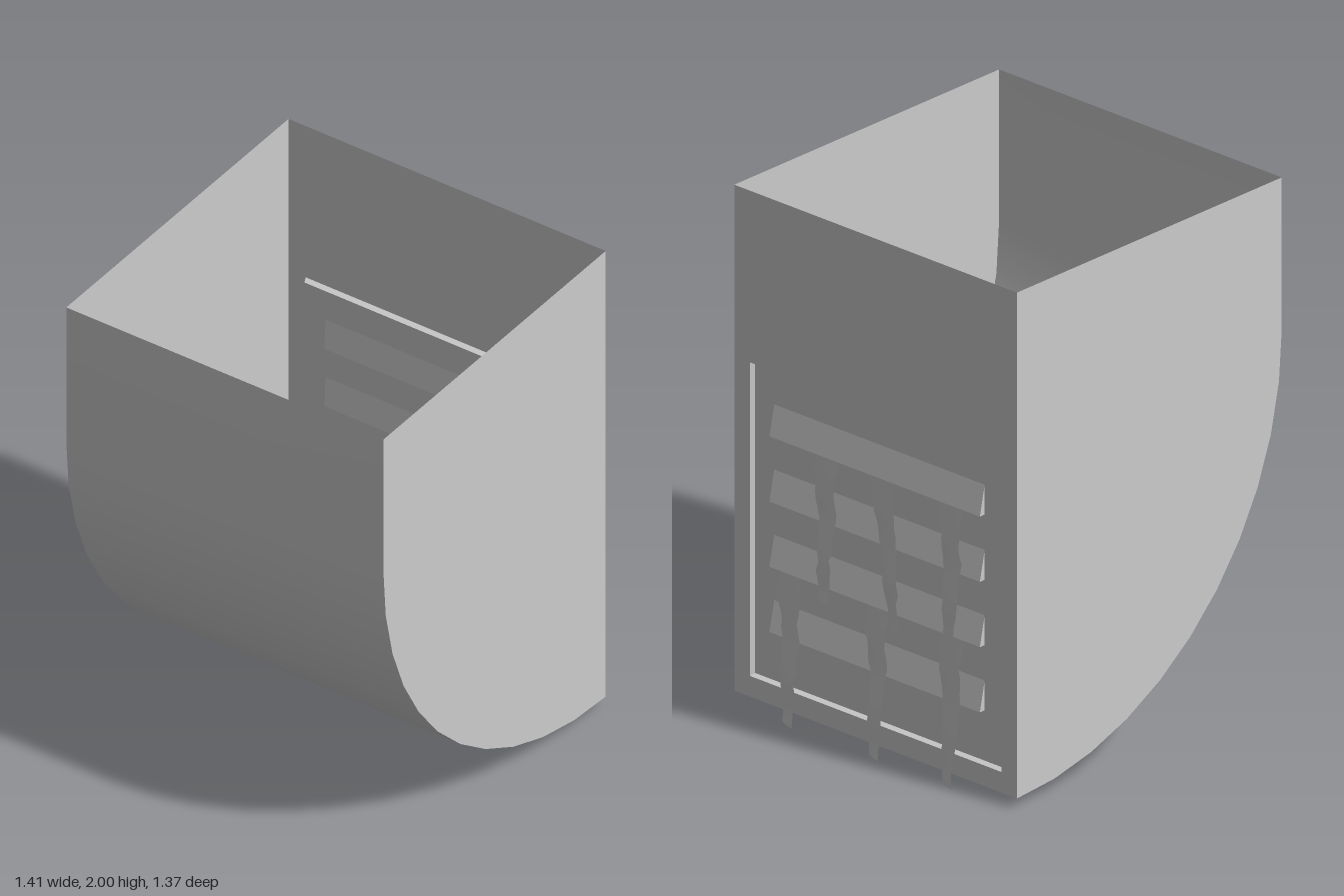
import * as THREE from 'three';

const material = new THREE.MeshStandardMaterial({ color: 0xcccccc, side: THREE.DoubleSide });
const flatMaterial = material.clone();
flatMaterial.flatShading = true;

const X0 = -0.71, X1 = 0.66, TOP = 2, HALF = 0.685; // hopper extents
const PANEL_X = 0.64;                               // floor of the recess

// Surface lofted through rows of [x, y, z] points
function sheet(name, rows, mat = material) {
  const n = rows[0].length, index = [];
  for (let i = 0; i < rows.length - 1; i++) {
    for (let j = 0; j < n - 1; j++) {
      const a = i * n + j, b = a + n;
      index.push(a, b, a + 1, b, b + 1, a + 1);
    }
  }
  const geo = new THREE.BufferGeometry();
  geo.setAttribute('position', new THREE.Float32BufferAttribute(rows.flat(2), 3));
  geo.setIndex(index);
  geo.computeVertexNormals();
  const mesh = new THREE.Mesh(geo, mat);
  mesh.name = name;
  return mesh;
}

function rectPath(path, u, v0, v1) {
  path.moveTo(-u, v0);
  path.lineTo(u, v0);
  path.lineTo(u, v1);
  path.lineTo(-u, v1);
  path.closePath();
  return path;
}

function rectLoop(x, u, v0, v1) {
  return [[x, v0, -u], [x, v0, u], [x, v1, u], [x, v1, -u], [x, v0, -u]];
}

function createHopper() {
  const g = new THREE.Group();
  g.name = 'hopper';

  // Side profile: straight back, then a quarter circle sweeping to the front edge
  const R = X1 - X0, cy = 0.04 + R;
  const profile = [[X0, TOP]];
  for (let i = 0; i <= 11; i++) {
    const a = (i / 11) * Math.PI / 2;
    profile.push([X1 - R * Math.cos(a), cy - R * Math.sin(a)]);
  }
  g.add(sheet('curvedWall', profile.map(([x, y]) => [[x, y, -HALF], [x, y, HALF]])));

  // Two flat side walls; the top stays open
  const outline = new THREE.Shape([...profile, [X1, TOP]].map(p => new THREE.Vector2(...p)));
  for (const s of [-1, 1]) {
    const wall = new THREE.Mesh(new THREE.ShapeGeometry(outline), material);
    wall.position.z = s * HALF;
    wall.name = 'sideWall';
    g.add(wall);
  }

  // Flat wall with the opening for the vent panel
  const face = rectPath(new THREE.Shape(), HALF, 0.04, TOP);
  face.holes.push(rectPath(new THREE.Path(), 0.61, 0.12, 1.335));
  const ventWall = new THREE.Mesh(new THREE.ShapeGeometry(face), material);
  ventWall.rotation.y = Math.PI / 2;
  ventWall.position.x = X1;
  ventWall.name = 'ventWall';
  g.add(ventWall);
  return g;
}

function createVent() {
  const g = new THREE.Group();
  g.name = 'vent';
  g.add(sheet('recessRim', [rectLoop(X1, 0.61, 0.12, 1.335), rectLoop(PANEL_X, 0.603, 0.127, 1.328)], flatMaterial));
  g.add(sheet('recessPanel', [
    [[PANEL_X, 0.127, -0.603], [PANEL_X, 0.127, 0.603]],
    [[PANEL_X, 1.328, -0.603], [PANEL_X, 1.328, 0.603]],
  ]));

  // Wedge louvres, flush at the top and standing out at the bottom
  const wedge = new THREE.Shape([[0.638, 0.125], [0.632, 0], [0.665, 0]].map(p => new THREE.Vector2(...p)));
  for (let i = 0; i < 4; i++) {
    const geo = new THREE.ExtrudeGeometry(wedge, { depth: 1.02, bevelEnabled: false });
    const louvre = new THREE.Mesh(geo, flatMaterial);
    louvre.position.set(0, 0.322 + i * 0.2527, -0.51);
    louvre.name = 'louvre';
    g.add(louvre);
  }
  return g;
}

function seeded(seed) {
  return () => (seed = (seed * 16807) % 2147483647) / 2147483647 - 0.5;
}

// Ragged hanging strip, twisting outward on one edge as it falls
function createRibbon(yTop, yBottom, zTop, zBottom, seed) {
  const rnd = seeded(seed), steps = 16, rows = [];
  for (let i = 0; i <= steps; i++) {
    const t = i / steps;
    const y = THREE.MathUtils.lerp(yTop, yBottom, t);
    const z = THREE.MathUtils.lerp(zTop, zBottom, t) + 0.007 * Math.sin(t * 9);
    const half = THREE.MathUtils.lerp(0.054, 0.034, t);
    const ragged = i === 0 || i === steps ? 0 : 0.016;
    const bulge = 0.006 * Math.sin(t * 12) * t;
    const inner = 0.662 + 0.012 * t + bulge;
    const outer = 0.664 + 0.036 * t + bulge;
    const zIn = z + half + rnd() * ragged, zOut = z - half + rnd() * ragged;
    rows.push([
      [inner, y, zIn],
      [(inner + outer) / 2 + 0.004 * t, y, (zIn + zOut) / 2],
      [outer, y, zOut],
    ]);
  }
  return sheet('ribbon', rows);
}

export function createModel() {
  const model = new THREE.Group();
  model.name = 'ventedHopper';
  model.add(createHopper(), createVent());

  const ribbons = new THREE.Group();
  ribbons.name = 'ribbons';
  const strips = [
    [1.08, 0.53, 0.23, 0.232], [1.08, 0.53, -0.033, -0.117], [1.08, 0.53, -0.375, -0.378],
    [0.575, 0, 0.408, 0.406], [0.575, 0, -0.015, -0.014], [0.575, 0, -0.375, -0.372],
  ];
  strips.forEach((s, i) => ribbons.add(createRibbon(...s, 7001 + i * 911)));
  model.add(ribbons);
  return model;
}
